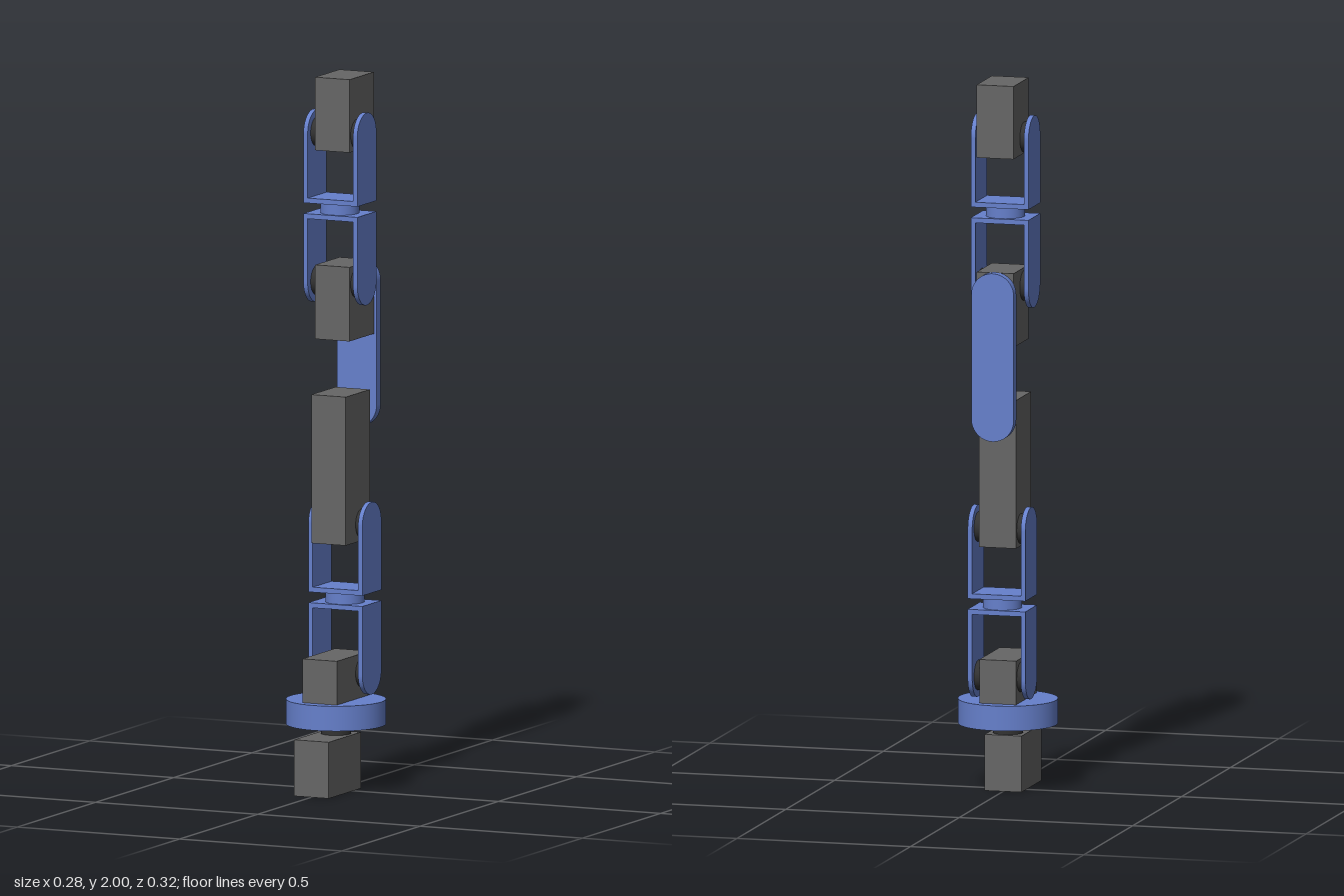
import * as THREE from 'three';

const blue = new THREE.MeshStandardMaterial({ color: 0x6680cc });
blue.name = 'bracket blue';
const grey = new THREE.MeshStandardMaterial({ color: 0x666666 });
grey.name = 'motor grey';
const dark = new THREE.MeshStandardMaterial({ color: 0x333333 });
dark.name = 'horn dark grey';

function add(parent, name, geometry, material, x = 0, y = 0, z = 0) {
  const mesh = new THREE.Mesh(geometry, material);
  mesh.name = name;
  mesh.position.set(x, y, z);
  parent.add(mesh);
  return mesh;
}

// Motor housing given by its vertical and depth extents
function motor(parent, name, y0, y1, z0, z1) {
  add(parent, name, new THREE.BoxGeometry(0.106, y1 - y0, z1 - z0), grey, 0, (y0 + y1) / 2, (z0 + z1) / 2);
}

function disc(parent, name, material, radius, height, x, y, z) {
  return add(parent, name, new THREE.CylinderGeometry(radius, radius, height, 48), material, x, y, z);
}

// Flat link of half-width r, rounded at the top and optionally at the bottom
function linkGeometry(r, y0, y1, thickness, roundBottom) {
  const s = new THREE.Shape();
  if (roundBottom) {
    s.absarc(0, y0 + r, r, Math.PI, Math.PI * 2, false);
  } else {
    s.moveTo(-r, y0);
    s.lineTo(r, y0);
  }
  s.absarc(0, y1 - r, r, 0, Math.PI, false);
  s.closePath();
  return new THREE.ExtrudeGeometry(s, { depth: thickness, bevelEnabled: false, curveSegments: 24 });
}

// U-shaped bracket opening upward from its cross plate, with two pivot horns
function bracket(name) {
  const group = new THREE.Group();
  group.name = name;
  add(group, 'crossPlate', new THREE.BoxGeometry(0.142, 0.014, 0.122), blue, 0, 0.007, 0);
  for (const side of [-1, 1]) {
    const arm = add(group, 'arm', linkGeometry(0.061, 0, 0.255, 0.013, false), blue, side * 0.07, 0, 0);
    arm.rotation.y = side * Math.PI / 2;
    disc(group, 'pivotHorn', dark, 0.042, 0.018, side * 0.0615, 0.194, 0).rotation.z = Math.PI / 2;
  }
  return group;
}

// Two brackets back to back, joined by a swivel disc
function doubleBracket(parent, name, y, z) {
  const joint = new THREE.Group();
  joint.name = name;
  joint.position.set(0, y, z);
  const upper = bracket('upperBracket');
  upper.position.y = 0.015;
  const lower = bracket('lowerBracket');
  lower.position.y = -0.015;
  lower.rotation.z = Math.PI;
  joint.add(upper, lower);
  disc(joint, 'swivelDisc', blue, 0.054, 0.032, 0, 0, 0);
  parent.add(joint);
}

export function createModel() {
  const model = new THREE.Group();
  model.name = 'jointedArm';

  // Base motor and turntable
  motor(model, 'baseMotor', 0, 0.158, -0.05, 0.157);
  disc(model, 'baseHorn', dark, 0.042, 0.017, 0, 0.1665, 0);
  disc(model, 'baseShaft', dark, 0.02, 0.012, 0, 0.18, 0);
  disc(model, 'turntable', blue, 0.139, 0.07, 0, 0.22, 0);
  motor(model, 'shoulderMotor', 0.255, 0.378, -0.105, 0.105);

  // Lower joint and tall middle motor
  doubleBracket(model, 'lowerJoint', 0.535, -0.057);
  motor(model, 'middleMotor', 0.695, 1.112, -0.107, 0.048);

  // Rear link with its elbow horn
  disc(model, 'elbowHorn', dark, 0.042, 0.016, 0, 1.063, -0.115).rotation.x = Math.PI / 2;
  disc(model, 'elbowShaft', dark, 0.025, 0.01, 0, 1.063, -0.127).rotation.x = Math.PI / 2;
  add(model, 'rearLink', linkGeometry(0.061, 1.002, 1.475, 0.027, true), blue, 0, 0, -0.159);

  // Upper joint between the wrist and head motors
  motor(model, 'wristMotor', 1.265, 1.473, -0.132, 0.024);
  doubleBracket(model, 'upperJoint', 1.632, -0.025);
  motor(model, 'headMotor', 1.795, 2, -0.132, 0.024);

  return model;
}
